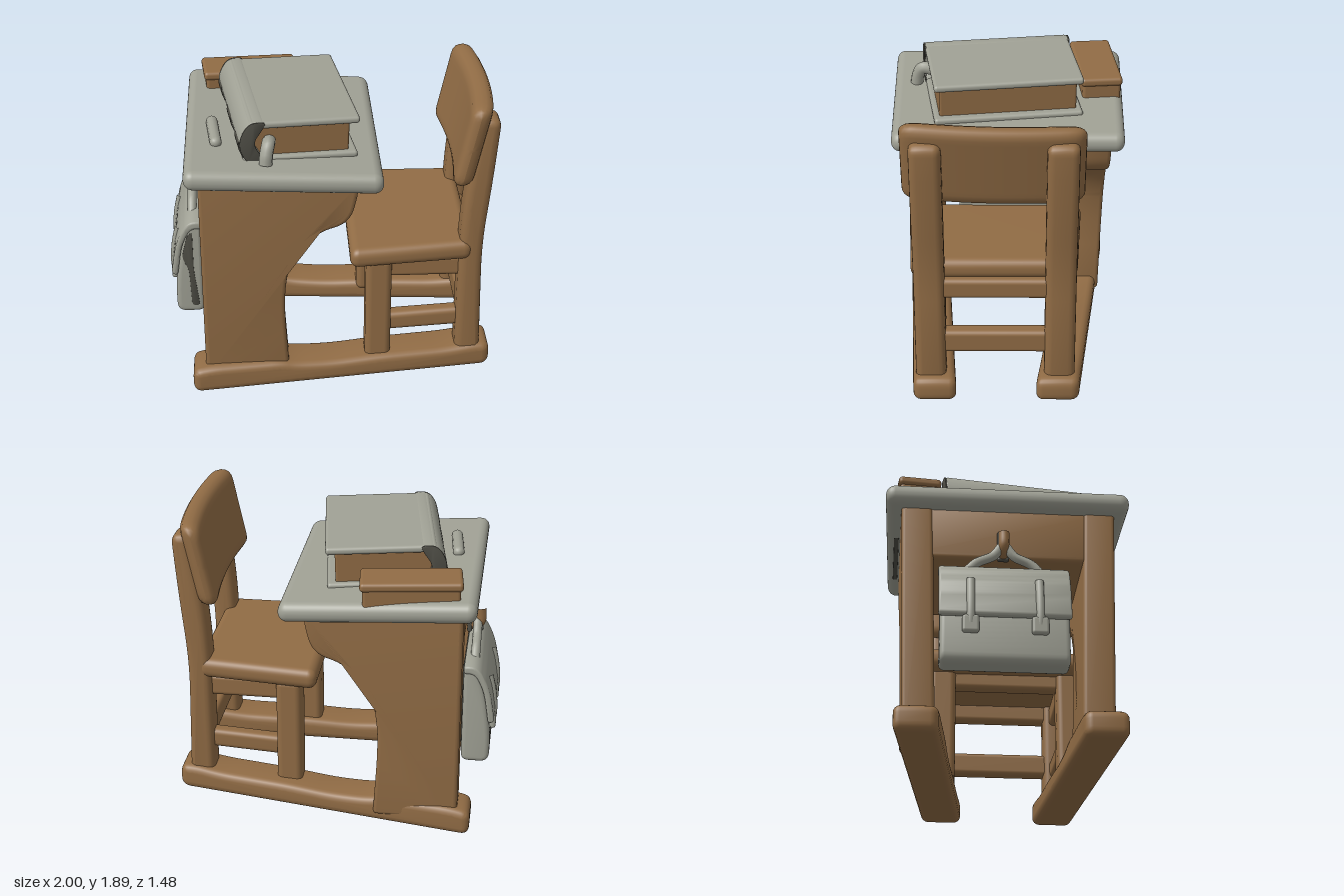
import * as THREE from 'three';
import { toCreasedNormals, mergeVertices } from 'three/addons/utils/BufferGeometryUtils.js';
import { RoundedBoxGeometry } from 'three/addons/geometries/RoundedBoxGeometry.js';

const wood = new THREE.MeshStandardMaterial({ color: 0x916c45 });
wood.name = 'brownWood';
const grey = new THREE.MeshStandardMaterial({ color: 0xa0a195 });
grey.name = 'warmGrey';
const dark = new THREE.MeshStandardMaterial({ color: 0x4f4e46 });
dark.name = 'darkGrey';

// Closed outline from [x, y, cornerRadius] points
function outline(pts) {
  const s = new THREE.Shape();
  const v = pts.map(p => new THREE.Vector2(p[0], p[1]));
  const n = v.length;
  const toward = (i, j) => v[j].clone().sub(v[i])
    .setLength(Math.min(pts[i][2] ?? 0.03, v[i].distanceTo(v[j]) * 0.48)).add(v[i]);
  for (let i = 0; i < n; i++) {
    const a = toward(i, (i + n - 1) % n), b = toward(i, (i + 1) % n);
    if (i === 0) s.moveTo(a.x, a.y); else s.lineTo(a.x, a.y);
    s.quadraticCurveTo(v[i].x, v[i].y, b.x, b.y);
  }
  s.closePath();
  return s;
}

// Vertices moved by a rule
function warp(geo, fn) {
  const p = geo.attributes.position, v = new THREE.Vector3();
  for (let i = 0; i < p.count; i++) {
    fn(v.fromBufferAttribute(p, i));
    p.setXYZ(i, v.x, v.y, v.z);
  }
  return geo;
}

// Side-view outline given thickness along z, with rounded edges
function slab(name, pts, zMid, thick, bevel, mat, fn) {
  let g = new THREE.ExtrudeGeometry(outline(pts), {
    depth: thick - 2 * bevel, bevelThickness: bevel, bevelSize: bevel,
    bevelOffset: -bevel, bevelSegments: 4, curveSegments: 6,
  });
  g.translate(0, 0, bevel - thick / 2);
  if (fn) warp(g, fn);
  g = toCreasedNormals(g, 0.65);
  const m = new THREE.Mesh(g, mat);
  m.position.z = zMid;
  m.name = name;
  return m;
}

// Rounded block, optionally warped
function block(name, size, pos, r, mat, fn) {
  let g = new RoundedBoxGeometry(...size, 4, r);
  if (fn) {
    g.deleteAttribute('normal');
    g.deleteAttribute('uv');
    g = mergeVertices(warp(g, fn), 1e-5);
    g.computeVertexNormals();
  }
  const m = new THREE.Mesh(g, mat);
  m.position.set(...pos);
  m.name = name;
  return m;
}

function tube(name, pts, r, mat) {
  const path = new THREE.CatmullRomCurve3(pts.map(p => new THREE.Vector3(...p)));
  const m = new THREE.Mesh(new THREE.TubeGeometry(path, 24, r, 10), mat);
  m.name = name;
  return m;
}

function group(name, ...parts) {
  const g = new THREE.Group();
  g.name = name;
  if (parts.length) g.add(...parts);
  return g;
}

function makeRunners() {
  const pts = [[-0.87, 0.0, 0.06], [-0.2, 0.025, 0.1], [0.2, 0.04, 0.1], [1.0, 0.07, 0.06],
    [1.0, 0.225, 0.06], [0.9, 0.23, 0.05], [0.72, 0.205, 0.08], [0.3, 0.19, 0.08], [0, 0.165, 0.1],
    [-0.22, 0.17, 0.08], [-0.32, 0.19, 0.06], [-0.75, 0.18, 0.06], [-0.87, 0.16, 0.05]];
  // the runners converge towards the chair
  return [['leftRunner', 0.56, 0.44], ['rightRunner', -0.53, -0.30]].map(([name, a, b]) =>
    slab(name, pts, 0, 0.26, 0.045, wood, v => { v.z += a + (b - a) * (v.x + 0.87) / 1.87; }));
}

function makeDesk() {
  const desk = group('desk');
  // side panels with a concave cut-out, leaning outwards slightly
  const side = [[-0.79, 0.08], [-0.79, 1.5], [0.15, 1.45], [0.15, 1.38], [0.12, 1.24, 0.06], [0.06, 1.17, 0.05],
    [-0.05, 1.135, 0.06], [-0.15, 1.065, 0.06], [-0.22, 0.97, 0.06], [-0.27, 0.84, 0.07], [-0.29, 0.68, 0.08],
    [-0.29, 0.5, 0.08], [-0.265, 0.08]];
  for (const [name, z, out] of [['leftPanel', 0.54, 1], ['rightPanel', -0.53, -1]])
    desk.add(slab(name, side, z, 0.19, 0.025, wood, v => { v.z += out * (v.y - 0.8) * 0.025; }));
  // storage box under the top
  desk.add(slab('storageBox', [[-0.78, 1.15], [-0.78, 1.5], [0.145, 1.44], [0.145, 1.37], [0.115, 1.24, 0.06], [0.055, 1.165, 0.05], [-0.06, 1.13, 0.05]],
    0, 1.1, 0.005, wood));
  // sloping top
  const slope = v => {
    v.y -= v.x * 0.062;
    v.z *= 0.985 - v.x * 0.035;
  };
  desk.add(block('deskTop', [1.17, 0.125, 1.47], [-0.285, 1.5, 0], 0.058, grey, slope));
  // worn dark strips under the rim
  const strip = new THREE.MeshStandardMaterial().copy(dark);
  for (const [name, size, pos] of [['frontRimWear', [0.03, 0.008, 0.8], [0.235, 1.408, -0.2]],
    ['sideRimWear', [0.5, 0.008, 0.03], [-0.2, 1.435, -0.665]]]) {
    const m = block(name, size, pos, 0.003, dark);
    m.rotation.z = -0.062;
    desk.add(m);
  }
  strip.dispose();
  return desk;
}

function makeChair() {
  const chair = group('chair');
  const post = [[0.78, 0.12], [0.78, 1.0, 0.2], [0.81, 1.4, 0.2], [0.88, 1.81, 0.06], [0.995, 1.8, 0.06],
    [0.965, 1.4, 0.2], [0.92, 0.95, 0.2], [0.94, 0.12]];
  for (const [side, z, out] of [['left', 0.465, 1], ['right', -0.315, -1]]) {
    chair.add(slab(side + 'BackPost', post, z, 0.185, 0.045, wood));
    chair.add(block(side + 'FrontLeg', [0.16, 0.75, 0.17], [0.29, 0.5, z + out * 0.02], 0.04, wood));
    chair.add(block(side + 'Apron', [0.54, 0.14, 0.1], [0.57, 0.79, z], 0.03, wood));
    chair.add(block(side + 'Stretcher', [0.54, 0.125, 0.1], [0.57, 0.395, z], 0.035, wood, v => { v.y += v.x * 0.06; }));
  }
  // cross pieces
  chair.add(block('backStretcher', [0.1, 0.15, 0.75], [0.85, 0.44, 0.075], 0.03, wood));
  chair.add(block('backApron', [0.1, 0.13, 0.75], [0.85, 0.815, 0.075], 0.03, wood));
  chair.add(block('frontApron', [0.1, 0.12, 0.75], [0.29, 0.81, 0.075], 0.03, wood));
  chair.add(block('seat', [0.75, 0.13, 1.08], [0.485, 0.915, 0.08], 0.055, wood, v => {
    v.y += v.x * 0.025;
    v.z *= 0.955 - v.x * 0.12;
  }));
  // curved backrest, swept along z from a leaning cross-section
  const rows = 24, pos = [], idx = [];
  const ring = outline([[-0.065, -0.26, 0.06], [0.065, -0.26, 0.06], [0.065, 0.26, 0.06], [-0.065, 0.26, 0.06]]).getSpacedPoints(40);
  for (let j = 0; j <= rows; j++) {
    const t = -Math.cos(Math.PI * j / rows);
    const k = Math.sqrt(Math.max(0, 1 - Math.pow(Math.abs(t), 16)));
    for (const p of ring) {
      const y = p.y - Math.sign(p.y) * Math.min(Math.abs(p.y), 0.06 * (1 - k));
      pos.push(0.862 + p.x * k + y * 0.21 - 0.045 * t * t, 1.627 + y + t * 0.012, 0.082 + t * 0.53);
    }
  }
  const w = ring.length;
  for (let j = 0; j < rows; j++) for (let i = 0; i < w - 1; i++) {
    const a = j * w + i;
    idx.push(a, a + 1, a + w, a + 1, a + w + 1, a + w);
  }
  let g = new THREE.BufferGeometry();
  g.setAttribute('position', new THREE.Float32BufferAttribute(pos, 3));
  g.setIndex(idx);
  g = mergeVertices(g, 1e-5);
  g.computeVertexNormals();
  const m = new THREE.Mesh(g, wood);
  m.name = 'backrest';
  chair.add(m);
  return chair;
}

function makeBook() {
  const book = group('book',
    block('bottomCover', [0.69, 0.045, 0.92], [0.01, -0.115, 0], 0.02, grey),
    block('topCover', [0.66, 0.045, 0.92], [0.03, 0.11, 0], 0.02, grey),
    block('pages', [0.58, 0.22, 0.85], [0.015, 0, 0], 0.015, wood));
  // rounded spine with dark ends and dark wear along its lower half
  const spine = [[-0.2, -0.135, 0.04], [-0.31, -0.135, 0.08], [-0.37, 0, 0.1], [-0.31, 0.135, 0.08],
    [-0.2, 0.135, 0.04], [-0.22, 0.09, 0.03], [-0.28, 0, 0.08], [-0.22, -0.09, 0.03]];
  book.add(slab('spine', spine, 0, 0.92, 0.01, grey));
  for (const s of [1, -1]) book.add(slab('spineEnd', spine, s * 0.461, 0.009, 0.002, dark));
  const wear = [[-0.28, -0.12, 0.02], [-0.315, -0.138, 0.04], [-0.366, -0.03, 0.05], [-0.352, 0.02, 0.01], [-0.3, 0, 0.03]];
  for (const [z, len] of [[-0.39, 0.13], [0.02, 0.16], [0.36, 0.15]]) book.add(slab('spineWear', wear, z, len, 0.003, dark));
  book.add(tube('ribbonMarker', [[-0.17, -0.01, 0.4], [-0.19, 0.0, 0.48], [-0.205, -0.05, 0.51], [-0.21, -0.11, 0.52]], 0.04, grey));
  book.position.set(-0.25, 1.672, 0.04);
  book.rotation.set(0, 0.14, -0.03);
  return book;
}

function makeDeskItems() {
  const box = group('pencilBox',
    block('boxBody', [0.57, 0.13, 0.24], [0, -0.03, 0], 0.02, wood),
    block('boxLid', [0.6, 0.055, 0.26], [0, 0.045, 0], 0.022, wood));
  box.position.set(-0.475, 1.622, -0.56);
  box.rotation.set(0, 0.1, -0.02);
  const pen = new THREE.Mesh(new THREE.CapsuleGeometry(0.036, 0.27, 6, 12), grey);
  pen.name = 'pen';
  pen.position.set(-0.695, 1.6, 0.21);
  pen.rotation.set(Math.PI / 2, 0, -0.1);
  return [box, pen];
}

function makeSatchel() {
  const bag = group('satchel',
    slab('bagBody', [[-0.79, 0.39, 0.05], [-0.79, 1.04], [-0.87, 1.03, 0.05], [-0.93, 0.85, 0.1], [-0.965, 0.6, 0.1], [-0.965, 0.39, 0.06]],
      0, 0.75, 0.03, grey),
    // flap folded over the front
    slab('bagFlap', [[-0.79, 1.0, 0.02], [-0.79, 1.055, 0.03], [-0.88, 1.05, 0.07], [-0.955, 0.9, 0.1], [-0.99, 0.68, 0.03],
      [-0.95, 0.67, 0.02], [-0.92, 0.88, 0.1], [-0.86, 1.0, 0.05]], 0, 0.77, 0.015, grey),
    // dark back and side gusset
    block('bagBack', [0.008, 0.5, 0.68], [-0.787, 0.76, 0], 0.003, dark),
    slab('gusset', [[-0.82, 0.44], [-0.85, 0.7], [-0.85, 0.98], [-0.885, 0.95], [-0.92, 0.8], [-0.88, 0.7], [-0.87, 0.44]],
      0.373, 0.008, 0.002, dark));
  for (const s of [1, -1]) {
    bag.add(tube('bagStrap', [[-0.94, 0.92, s * 0.2], [-0.965, 0.8, s * 0.2], [-0.975, 0.68, s * 0.2], [-0.965, 0.58, s * 0.2]], 0.026, grey));
    bag.add(block('buckle', [0.04, 0.11, 0.1], [-0.975, 0.62, s * 0.2], 0.018, grey));
  }
  bag.add(tube('bagHandle', [[-0.85, 1.03, 0.21], [-0.85, 1.08, 0.16], [-0.85, 1.13, 0.06], [-0.85, 1.2, 0],
    [-0.85, 1.13, -0.06], [-0.85, 1.08, -0.16], [-0.85, 1.03, -0.21]], 0.028, grey));
  bag.position.z = -0.03;
  // wall hook on a dark mounting plate
  const hook = group('bagHook',
    tube('hookArm', [[-0.78, 1.2, -0.03], [-0.83, 1.16, -0.03], [-0.865, 1.19, -0.03], [-0.865, 1.28, -0.03]], 0.033, wood),
    block('hookPlate', [0.03, 0.2, 0.07], [-0.8, 1.22, -0.03], 0.012, dark));
  return [bag, hook];
}

export function createModel() {
  return group('schoolDesk', ...makeRunners(), makeDesk(), makeChair(), makeBook(), ...makeDeskItems(), ...makeSatchel());
}
